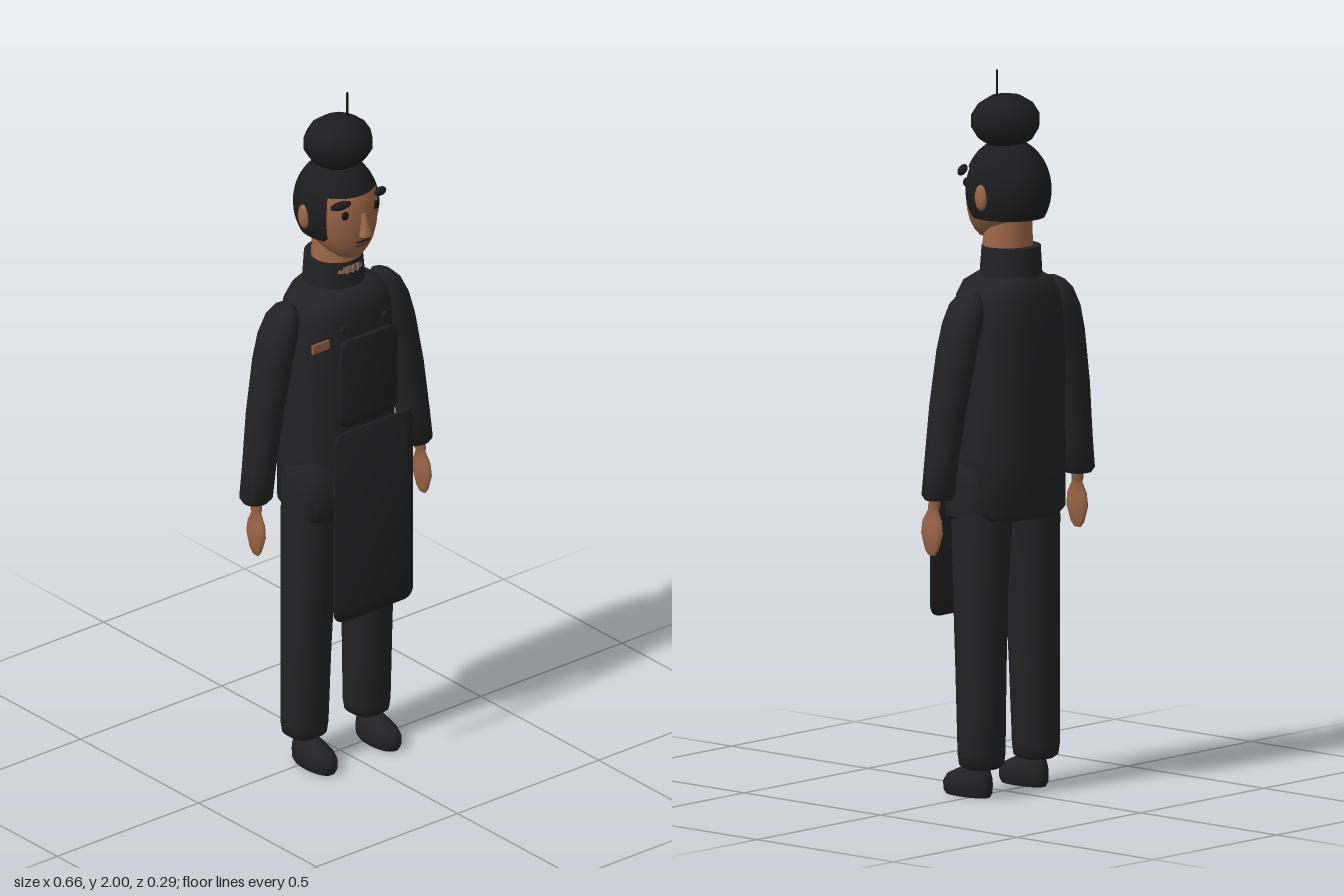
import * as THREE from 'three';
import { toCreasedNormals } from 'three/addons/utils/BufferGeometryUtils.js';

const material = (name, color, side = THREE.FrontSide) =>
  Object.assign(new THREE.MeshStandardMaterial({ color, side }), { name });

// Closed skin over horizontal superellipse rings [y, cx, cz, rx, rz], bottom to top
function loft(rings, power = 2, segments = 32) {
  const pos = [], index = [];
  const bend = (v) => Math.sign(v) * Math.abs(v) ** (2 / power);
  for (const [y, cx, cz, rx, rz] of rings) {
    for (let j = 0; j < segments; j++) {
      const a = (j / segments) * Math.PI * 2;
      pos.push(cx + rx * bend(Math.cos(a)), y, cz + rz * bend(Math.sin(a)));
    }
  }
  const first = rings[0], last = rings[rings.length - 1];
  const bottom = rings.length * segments, top = bottom + 1;
  pos.push(first[1], first[0], first[2], last[1], last[0], last[2]);
  for (let j = 0; j < segments; j++) {
    const k = (j + 1) % segments;
    for (let i = 0; i < rings.length - 1; i++) {
      const a = i * segments + j, b = i * segments + k;
      index.push(a, a + segments, b, b, a + segments, b + segments);
    }
    const t = (rings.length - 1) * segments;
    index.push(bottom, j, k, top, t + k, t + j);
  }
  const g = new THREE.BufferGeometry();
  g.setAttribute('position', new THREE.Float32BufferAttribute(pos, 3));
  g.setIndex(index);
  return toCreasedNormals(g, 0.9);
}

// Soft-edged upright panel with rounded corners, centred on its own origin
function panel(w, h, depth, r) {
  const bevel = depth * 0.3, x = w / 2 - bevel, y = h / 2 - bevel;
  const s = new THREE.Shape();
  s.moveTo(-x + r, -y);
  s.lineTo(x - r, -y).quadraticCurveTo(x, -y, x, -y + r);
  s.lineTo(x, y - r).quadraticCurveTo(x, y, x - r, y);
  s.lineTo(-x + r, y).quadraticCurveTo(-x, y, -x, y - r);
  s.lineTo(-x, -y + r).quadraticCurveTo(-x, -y, -x + r, -y);
  const g = new THREE.ExtrudeGeometry(s, {
    depth: depth - 2 * bevel, bevelThickness: bevel, bevelSize: bevel, bevelSegments: 3, curveSegments: 6,
  });
  return toCreasedNormals(g.center(), 0.8);
}

const ball = (rx, ry, rz, w = 16, h = 10) => new THREE.SphereGeometry(1, w, h).scale(rx, ry, rz);

export function createModel() {
  const model = new THREE.Group();
  model.name = 'standingFigure';
  const skin = material('skin', 0x996446);
  const cloth = material('darkCloth', 0x222224);
  const apron = material('apronCloth', 0x1e1e20);
  const hair = material('blackHair', 0x1c1c1e, THREE.DoubleSide);
  const features = material('darkFeatures', 0x1a1412);
  const lips = material('lips', 0x5e3528);
  const trim = material('paleTrim', 0x8c8c8c);

  const add = (name, geometry, mat, x = 0, y = 0, z = 0) => {
    const mesh = new THREE.Mesh(geometry, mat);
    mesh.name = name;
    mesh.position.set(x, y, z);
    model.add(mesh);
    return mesh;
  };

  // Coat, hips and collar
  add('coat', loft([
    [0.77, 0, -0.017, 0.15, 0.115], [0.785, 0, -0.017, 0.163, 0.126], [0.95, 0, -0.017, 0.165, 0.127],
    [1.2, 0, -0.017, 0.163, 0.126], [1.32, 0, -0.016, 0.158, 0.122], [1.38, 0, -0.014, 0.148, 0.116],
    [1.415, 0, -0.014, 0.125, 0.105], [1.435, 0, -0.02, 0.085, 0.085],
  ], 2.5, 40), cloth);
  add('hips', loft([
    [0.76, 0, 0.01, 0.15, 0.08], [0.775, 0, 0.01, 0.172, 0.093], [0.85, 0, 0.01, 0.177, 0.097],
    [0.9, 0, 0.01, 0.172, 0.093], [0.94, 0, 0.01, 0.155, 0.08],
  ], 3.5), cloth);
  add('collar', loft([
    [1.41, 0, -0.024, 0.09, 0.086], [1.43, 0, -0.025, 0.088, 0.084], [1.512, 0, -0.026, 0.08, 0.081],
  ]), cloth);
  for (let i = -1; i <= 1; i++) {
    add('collarStitch', new THREE.BoxGeometry(0.005, 0.022, 0.004), trim, i * 0.018, 1.488, 0.057 - 0.002 * i * i);
  }

  // Neck and head
  add('neck', loft([
    [1.48, 0, -0.012, 0.074, 0.07], [1.53, 0, -0.014, 0.07, 0.066], [1.6, 0, -0.02, 0.062, 0.06],
  ]), skin);
  add('head', loft([
    [1.528, 0, 0.048, 0.018, 0.018], [1.533, 0, 0.044, 0.036, 0.032], [1.55, 0, 0.03, 0.06, 0.056],
    [1.575, 0, 0.017, 0.08, 0.081], [1.61, 0, -0.002, 0.099, 0.106], [1.65, 0, -0.01, 0.109, 0.114],
    [1.69, 0, -0.012, 0.109, 0.114], [1.73, 0, -0.013, 0.098, 0.103], [1.765, 0, -0.015, 0.075, 0.078],
    [1.79, 0, -0.015, 0.04, 0.04],
  ]), skin);
  add('nose', loft([
    [1.602, 0, 0.106, 0.01, 0.008], [1.612, 0, 0.112, 0.02, 0.018], [1.625, 0, 0.11, 0.014, 0.018],
    [1.675, 0, 0.1, 0.007, 0.009],
  ], 2, 12), skin);
  add('mouth', ball(0.026, 0.006, 0.007), lips, 0, 1.58, 0.096);
  add('mouthLine', ball(0.026, 0.003, 0.006), features, 0, 1.59, 0.1);

  // Hair: crown, wrapped back and sides, and a bun with its pin
  const gap = 0.95;
  const cap = new THREE.SphereGeometry(1, 32, 10, 0, Math.PI * 2, 0, 1.12).scale(0.115, 0.14, 0.122);
  add('hairCrown', cap, hair, 0, 1.665, -0.014);
  const wrap = new THREE.SphereGeometry(1, 32, 10, Math.PI / 2 + gap, Math.PI * 2 - 2 * gap, 1.1, 1.03)
    .scale(0.115, 0.14, 0.122);
  add('hairBackAndSides', wrap, hair, 0, 1.665, -0.014);
  add('hairBun', ball(0.1, 0.076, 0.094, 11, 7), hair, 0, 1.852, -0.006);
  add('hairPin', new THREE.CylinderGeometry(0.003, 0.003, 0.12, 6), features, 0.025, 1.935, 0.003);

  // Apron: bib, skirt and chest tag
  const bib = add('apronBib', panel(0.2, 0.265, 0.016, 0.03), apron, 0, 1.187, 0.121);
  bib.rotation.x = 0.015;
  add('apronSkirt', panel(0.278, 0.575, 0.01, 0.035), apron, 0, 0.768, 0.143);
  add('chestTag', new THREE.BoxGeometry(0.058, 0.026, 0.006), skin, -0.139, 1.305, 0.086);

  // Mirrored parts
  for (const s of [-1, 1]) {
    const side = s > 0 ? 'left' : 'right';
    add(side + 'Leg', loft([
      [0.08, s * 0.11, -0.017, 0.045, 0.045], [0.09, s * 0.11, -0.017, 0.059, 0.058],
      [0.12, s * 0.11, -0.017, 0.064, 0.061], [0.35, s * 0.108, -0.013, 0.065, 0.068],
      [0.6, s * 0.104, -0.008, 0.069, 0.076], [0.75, s * 0.097, -0.006, 0.077, 0.082],
      [0.85, s * 0.09, -0.006, 0.077, 0.08],
    ], 2.3), cloth);
    add(side + 'Shoe', loft([
      [0, s * 0.113, 0.03, 0.034, 0.074], [0.012, s * 0.113, 0.03, 0.041, 0.08],
      [0.035, s * 0.113, 0.03, 0.042, 0.081], [0.055, s * 0.113, 0.024, 0.037, 0.074],
      [0.072, s * 0.113, 0.008, 0.028, 0.054], [0.088, s * 0.113, -0.006, 0.02, 0.034],
    ], 2.2, 24), cloth);
    add(side + 'Sleeve', loft([
      [0.845, s * 0.285, -0.015, 0.036, 0.034], [0.858, s * 0.283, -0.015, 0.046, 0.044],
      [0.95, s * 0.271, -0.016, 0.047, 0.045], [1.1, s * 0.248, -0.02, 0.05, 0.052],
      [1.25, s * 0.217, -0.024, 0.052, 0.058], [1.32, s * 0.197, -0.026, 0.052, 0.058],
      [1.37, s * 0.181, -0.026, 0.042, 0.05], [1.395, s * 0.171, -0.026, 0.026, 0.034],
      [1.406, s * 0.166, -0.026, 0.01, 0.014],
    ], 2.1, 24), cloth);
    add(side + 'Hand', loft([
      [0.69, s * 0.295, -0.002, 0.003, 0.012], [0.705, s * 0.295, -0.002, 0.008, 0.024],
      [0.75, s * 0.294, -0.002, 0.014, 0.038], [0.785, s * 0.293, -0.002, 0.013, 0.034],
      [0.815, s * 0.291, -0.004, 0.009, 0.018], [0.825, s * 0.29, -0.006, 0.014, 0.018],
      [0.87, s * 0.288, -0.01, 0.017, 0.02],
    ], 2, 16), skin);
    add(side + 'Ear', ball(0.012, 0.036, 0.021), skin, s * 0.112, 1.655, -0.017);
    add(side + 'Eye', ball(0.012, 0.013, 0.006), features, s * 0.054, 1.678, 0.089);
    const brow = add(side + 'Eyebrow', ball(0.03, 0.012, 0.012), hair, s * 0.07, 1.714, 0.089);
    brow.rotation.set(0, s * 0.45, s * -0.2);
    add(side + 'Button', ball(0.01, 0.01, 0.006), cloth, s * 0.075, 1.342, 0.102);
  }
  return model;
}
